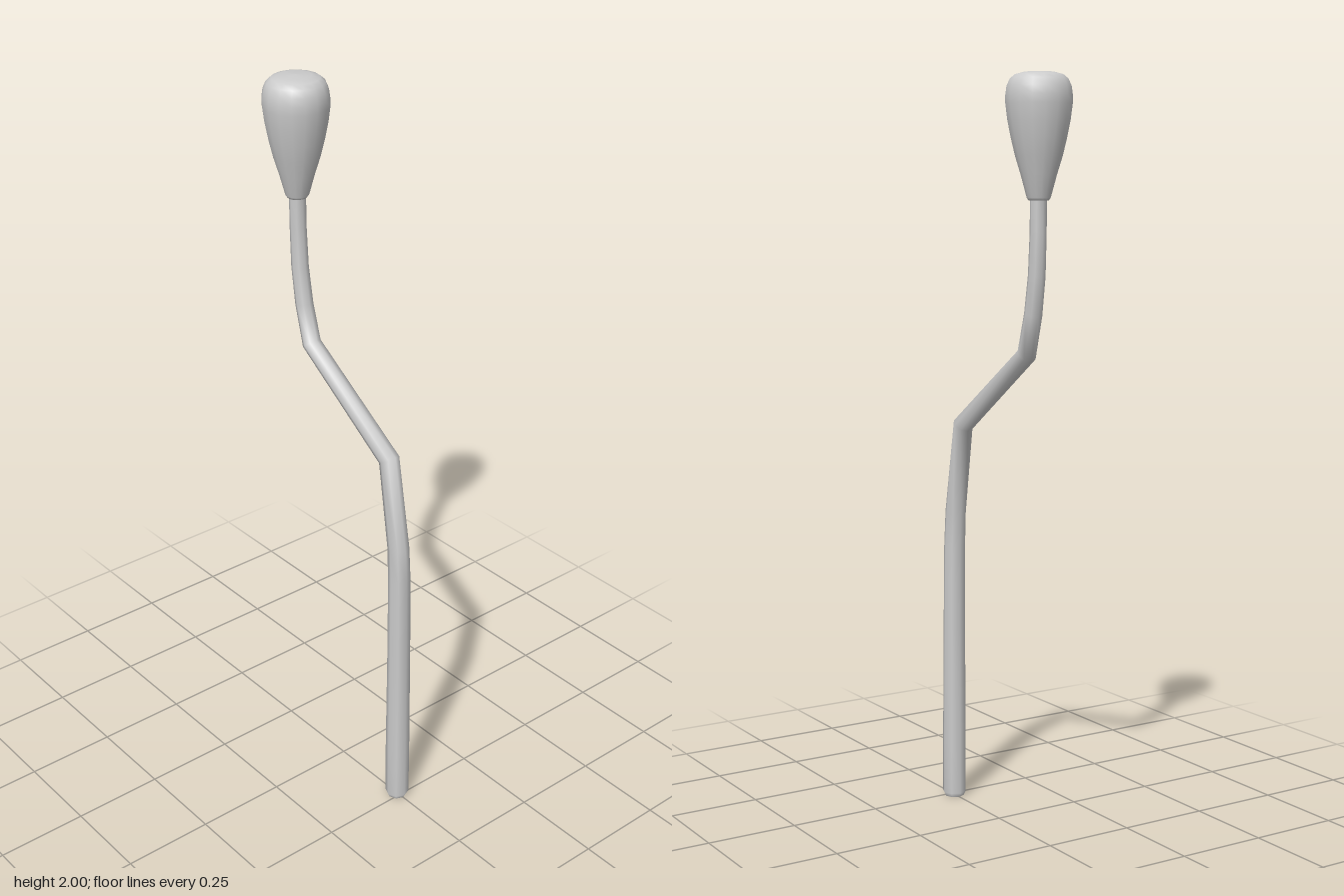
import * as THREE from 'three';

const material = new THREE.MeshStandardMaterial({ color: 0xcccccc });

// Tapered rod bent in the z-y plane: one mitred ring per station [z, y, radius]
function bentRod(stations, sides) {
  const positions = [], indices = [];
  const points = stations.map(([z, y]) => new THREE.Vector2(z, y));
  const direction = (a, b) => points[b].clone().sub(points[a]).normalize();
  const last = points.length - 1;
  points.forEach((p, i) => {
    const before = direction(Math.max(i - 1, 0), Math.max(i, 1));
    const after = direction(Math.min(i, last - 1), Math.min(i + 1, last));
    const tangent = before.clone().add(after).normalize();
    const mitre = 1 / tangent.dot(after);
    const radius = stations[i][2];
    for (let s = 0; s < sides; s++) {
      const angle = (s / sides) * Math.PI * 2;
      const across = Math.cos(angle) * radius * mitre;
      positions.push(Math.sin(angle) * radius, p.y - tangent.x * across, p.x + tangent.y * across);
      if (i < last) {
        const a = i * sides + s, b = i * sides + (s + 1) % sides;
        indices.push(a, b, a + sides, b, b + sides, a + sides);
      }
    }
  });
  const geometry = new THREE.BufferGeometry();
  geometry.setAttribute('position', new THREE.Float32BufferAttribute(positions, 3));
  geometry.setIndex(indices);
  geometry.computeVertexNormals();
  return geometry;
}

export function createModel() {
  const group = new THREE.Group();
  const add = (name, geometry, y, z) => {
    const mesh = new THREE.Mesh(geometry, material);
    mesh.name = name;
    mesh.position.set(0, y, z);
    group.add(mesh);
  };

  // Cranked lever rod, thinner towards the top
  add('leverRod', bentRod([
    [0.238, 0, 0.027], [0.238, 0.012, 0.033], [0.237, 0.17, 0.033], [0.235, 0.5, 0.031],
    [0.232, 0.72, 0.03], [0.226, 0.82, 0.029], [0.184, 1.07, 0.027],
    [-0.132, 1.285, 0.025], [-0.162, 1.39, 0.024], [-0.178, 1.49, 0.023],
    [-0.184, 1.6, 0.022], [-0.185, 1.72, 0.022],
  ], 8), 0, 0);

  // Flat foot closing the rod
  const foot = new THREE.CircleGeometry(0.027, 8);
  foot.rotateX(Math.PI / 2);
  add('rodFoot', foot, 0, 0.238);

  // Pear-shaped grip
  const profile = [
    [0, 1.68], [0.026, 1.68], [0.031, 1.687], [0.047, 1.745], [0.061, 1.79], [0.072, 1.835],
    [0.081, 1.88], [0.086, 1.92], [0.086, 1.942], [0.083, 1.963], [0.075, 1.981],
    [0.062, 1.992], [0.04, 1.998], [0, 2],
  ].map(([r, y]) => new THREE.Vector2(r, y));
  add('knob', new THREE.LatheGeometry(profile, 16), 0, -0.186);

  return group;
}
